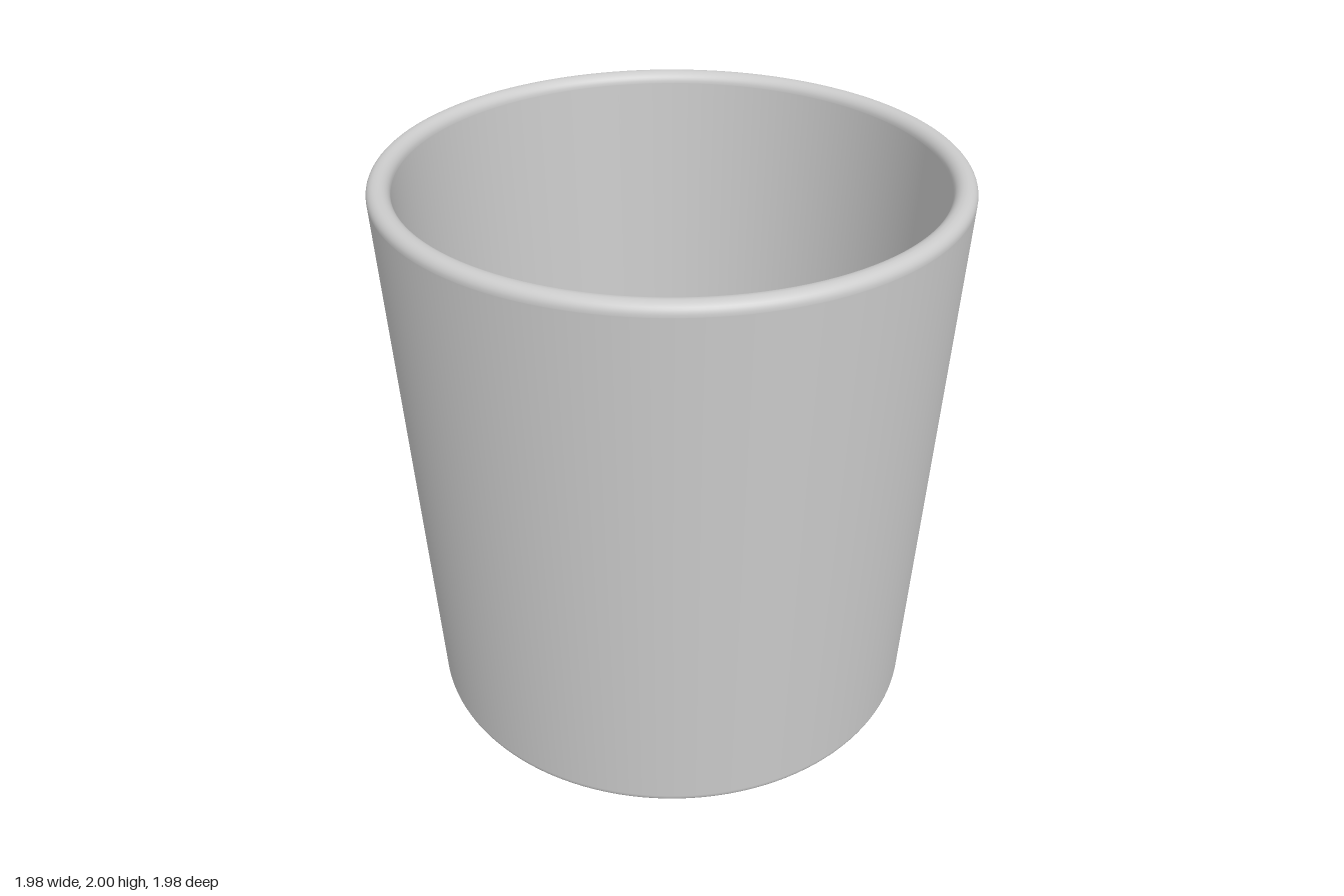
import * as THREE from 'three';

// Replace the corner at p (between a and b) by a soft bend of size r, with
// guard points either side so the straight runs keep clean normals
function bend(a, p, b, r, steps = 8) {
  const toA = a.clone().sub(p).normalize();
  const toB = b.clone().sub(p).normalize();
  const at = (dir, d) => p.clone().addScaledVector(dir, d);
  const start = at(toA, r), end = at(toB, r), k = 0.55;
  const curve = new THREE.CubicBezierCurve(start, at(toA, r * (1 - k)), at(toB, r * (1 - k)), end);
  return [at(toA, r + 0.002), ...curve.getPoints(steps), at(toB, r + 0.002)];
}

export function createModel() {
  const group = new THREE.Group();
  group.name = 'tumbler';
  const material = new THREE.MeshStandardMaterial({ color: 0xcccccc });

  // Wall section: base centre, base edge, outer lip, inner lip, floor edge, floor centre
  const corners = [
    [0, 0], [0.893, 0], [0.99, 2], [0.912, 2], [0.818, 0.08], [0, 0.08],
  ].map(([x, y]) => new THREE.Vector2(x, y));
  const radii = [0, 0.03, 0.037, 0.036, 0.06, 0];

  const profile = [corners[0]];
  for (let i = 1; i < corners.length - 1; i++) {
    profile.push(...bend(corners[i - 1], corners[i], corners[i + 1], radii[i]));
  }
  profile.push(corners[corners.length - 1]);

  // One turned body: tapered wall, rounded lip and hollow inside
  const cup = new THREE.Mesh(new THREE.LatheGeometry(profile, 128), material);
  cup.name = 'cupBody';
  group.add(cup);
  return group;
}
